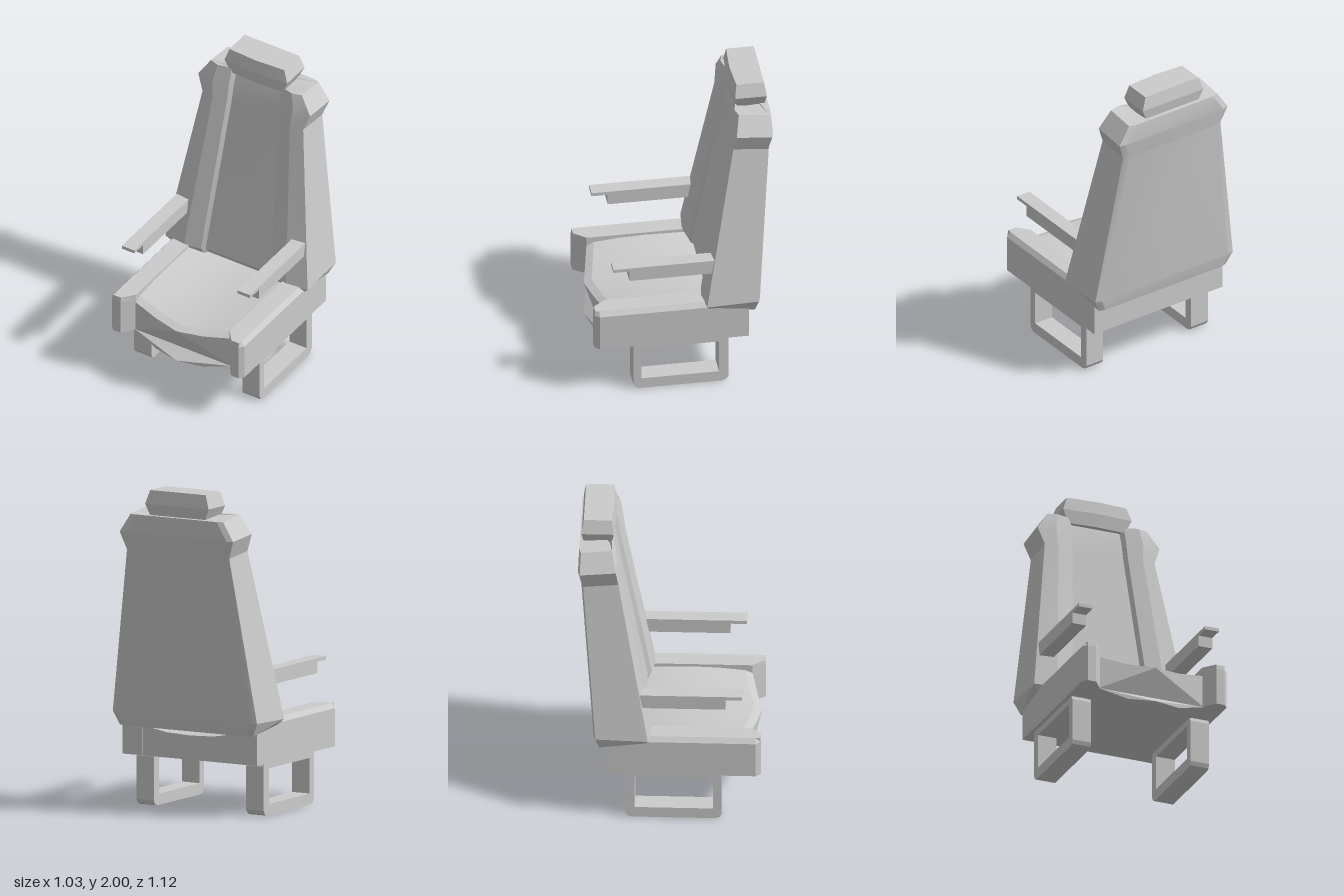
import * as THREE from 'three';
import { toCreasedNormals } from 'three/addons/utils/BufferGeometryUtils.js';

const material = new THREE.MeshStandardMaterial({ color: 0xcccccc });

function add(parent, name, geometry) {
  const mesh = new THREE.Mesh(geometry, material);
  mesh.name = name;
  parent.add(mesh);
  return mesh;
}

// Skin a stack of rings (arrays of [x, y, z]) and close both ends.
// Rings run counter-clockwise seen from the end of the stack.
function loft(rings, project, crease = 0.3) {
  const positions = [];
  const tri = (a, b, c) => positions.push(...a, ...b, ...c);
  for (let r = 0; r + 1 < rings.length; r++) {
    const lower = rings[r], upper = rings[r + 1], n = lower.length;
    for (let i = 0; i < n; i++) {
      const j = (i + 1) % n;
      tri(lower[i], lower[j], upper[j]);
      tri(lower[i], upper[j], upper[i]);
    }
  }
  const last = rings[rings.length - 1];
  const cap = (ring, flip) => {
    const outline = ring.map((p) => new THREE.Vector2(...project(p)));
    for (const [a, b, c] of THREE.ShapeUtils.triangulateShape(outline, [])) {
      if (flip) tri(ring[a], ring[c], ring[b]);
      else tri(ring[a], ring[b], ring[c]);
    }
  };
  cap(rings[0], true);
  cap(last, false);
  const geometry = new THREE.BufferGeometry();
  geometry.setAttribute('position', new THREE.Float32BufferAttribute(positions, 3));
  return toCreasedNormals(geometry, crease);
}
const alongY = ([x, , z]) => [x, -z];
const alongZ = ([x, y]) => [x, y];

// Complete a right-to-left symmetric ring from its half with x >= 0.
function mirrorRing(half) {
  const mirrored = half.filter((p) => p[0] > 0).map(([x, y, z]) => [-x, y, z]).reverse();
  return [...half, ...mirrored];
}

// Backrest: raised bolsters either side of a sunken centre panel
function backrest() {
  // yFront, yBack, yCentre, half width, crest x, panel x, zFront, zBack
  const sections = [
    [0.55, 0.515, 0.55, 0.475, 0.35, 0.25, -0.13, -0.44],
    [0.59, 0.60, 0.585, 0.515, 0.37, 0.26, -0.11, -0.46],
    [1.64, 1.62, 1.63, 0.365, 0.28, 0.19, -0.295, -0.54],
    [1.75, 1.73, 1.74, 0.405, 0.29, 0.185, -0.31, -0.56],
    [1.865, 1.845, 1.835, 0.33, 0.27, 0.18, -0.335, -0.555],
  ];
  const rings = sections.map(([yf, yb, yc, w, crest, panel, zf, zb]) => mirrorRing([
    [0, yc, zf - 0.045],
    [panel - 0.02, yc, zf - 0.045],
    [panel, yf, zf - 0.022],
    [crest, yf, zf],
    [w, yf, zf - 0.018],
    [w, yb, zb + 0.012],
    [w - 0.04, yb, zb],
  ]));
  return loft(rings, alongY);
}

// Headrest: widest at mid height, slightly bowed front
function headrest() {
  const sections = [
    [1.83, 0.19, -0.345, -0.53],
    [1.915, 0.227, -0.335, -0.543],
    [2.0, 0.198, -0.347, -0.53],
  ];
  return loft(sections.map(([y, w, zf, zb]) => mirrorRing([
    [0, y, zf], [w, y, zf - 0.012], [w, y, zb],
  ])), alongY, 0.2);
}

// Cushion: dished across, with a front edge bowed forward and a dropped lip
function cushion() {
  // zSide, zCentre, ySideTop, ySideBottom, yCentreBottom
  const rows = [
    [-0.388, -0.388, 0.52, 0.33, 0.33],
    [-0.12, -0.12, 0.575, 0.33, 0.33],
    [0.12, 0.165, 0.58, 0.33, 0.325],
    [0.28, 0.33, 0.575, 0.33, 0.315],
    [0.435, 0.505, 0.56, 0.33, 0.30],
    [0.48, 0.553, 0.54, 0.33, 0.275],
  ];
  const xs = [-0.35, -0.17, 0, 0.17, 0.35];
  return loft(rows.map(([zs, zc, top, side, centre]) => {
    const point = (x, y) => [x, y, zc + (zs - zc) * Math.abs(x) / 0.35];
    const bottom = xs.map((x) => point(x, Math.abs(x) > 0.3 ? side : centre));
    const upper = xs.map((x) => point(x, top - (x === 0 ? 0.04 : Math.abs(x) > 0.3 ? 0 : 0.033)));
    return [...bottom, ...upper.reverse()];
  }), alongZ);
}

// Side rail: chamfered front corners and a bevelled outer top edge
function sideRail() {
  const ring = (y, outer, front) => [
    [0.34, y, 0.48], [0.40, y, front], [0.455, y, front],
    [outer, y, 0.53], [outer, y, -0.39], [0.34, y, -0.39],
  ];
  return loft([ring(0.33, 0.48, 0.56), ring(0.565, 0.48, 0.56), ring(0.595, 0.457, 0.555)], alongY, 0.1);
}

// Extrude a z-y outline across x, starting at x0
function acrossX(shape, x0, width) {
  const geometry = new THREE.ExtrudeGeometry(shape, { depth: width, bevelEnabled: false });
  return geometry.rotateY(-Math.PI / 2).translate(x0 + width, 0, 0);
}
const outline = (points) => points.map(([z, y]) => new THREE.Vector2(z, y));

// Leg: rectangular loop with softened outer corners
function leg() {
  const shape = new THREE.Shape(outline([
    [-0.255, 0.01], [-0.23, 0], [0.285, 0], [0.31, 0.01], [0.32, 0.035],
    [0.32, 0.305], [0.31, 0.33], [0.285, 0.34], [-0.235, 0.34], [-0.26, 0.33],
    [-0.27, 0.305], [-0.27, 0.035],
  ]));
  shape.holes.push(new THREE.Path(outline([
    [-0.21, 0.07], [-0.21, 0.29], [0.27, 0.29], [0.27, 0.07],
  ])));
  return acrossX(shape, 0.33, 0.125);
}

// Armrest: solid bar with a thin lip overhanging its front
function armrest() {
  const shape = new THREE.Shape(outline([
    [-0.2, 0.805], [0.345, 0.805], [0.345, 0.875], [0.445, 0.875],
    [0.445, 0.897], [-0.2, 0.897],
  ]));
  return acrossX(shape, 0.374, 0.091);
}

// Mirror a geometry to the -x side, keeping its faces outward
function mirrorX(geometry) {
  const flipped = geometry.index ? geometry.toNonIndexed() : geometry.clone();
  flipped.scale(-1, 1, 1);
  for (const { array, itemSize } of Object.values(flipped.attributes)) {
    for (let i = 0; i < array.length; i += itemSize * 3) {
      for (let k = 0; k < itemSize; k++) {
        const a = i + itemSize + k, b = i + itemSize * 2 + k;
        [array[a], array[b]] = [array[b], array[a]];
      }
    }
  }
  flipped.computeVertexNormals();
  return flipped;
}

export function createModel() {
  const seat = new THREE.Group();
  seat.name = 'seat';
  add(seat, 'backrest', backrest());
  add(seat, 'headrest', headrest());
  add(seat, 'cushion', cushion());
  for (const [name, build] of [['SideRail', sideRail], ['Armrest', armrest], ['Leg', leg]]) {
    const geometry = build();
    add(seat, 'left' + name, geometry);
    add(seat, 'right' + name, mirrorX(geometry));
  }
  return seat;
}
